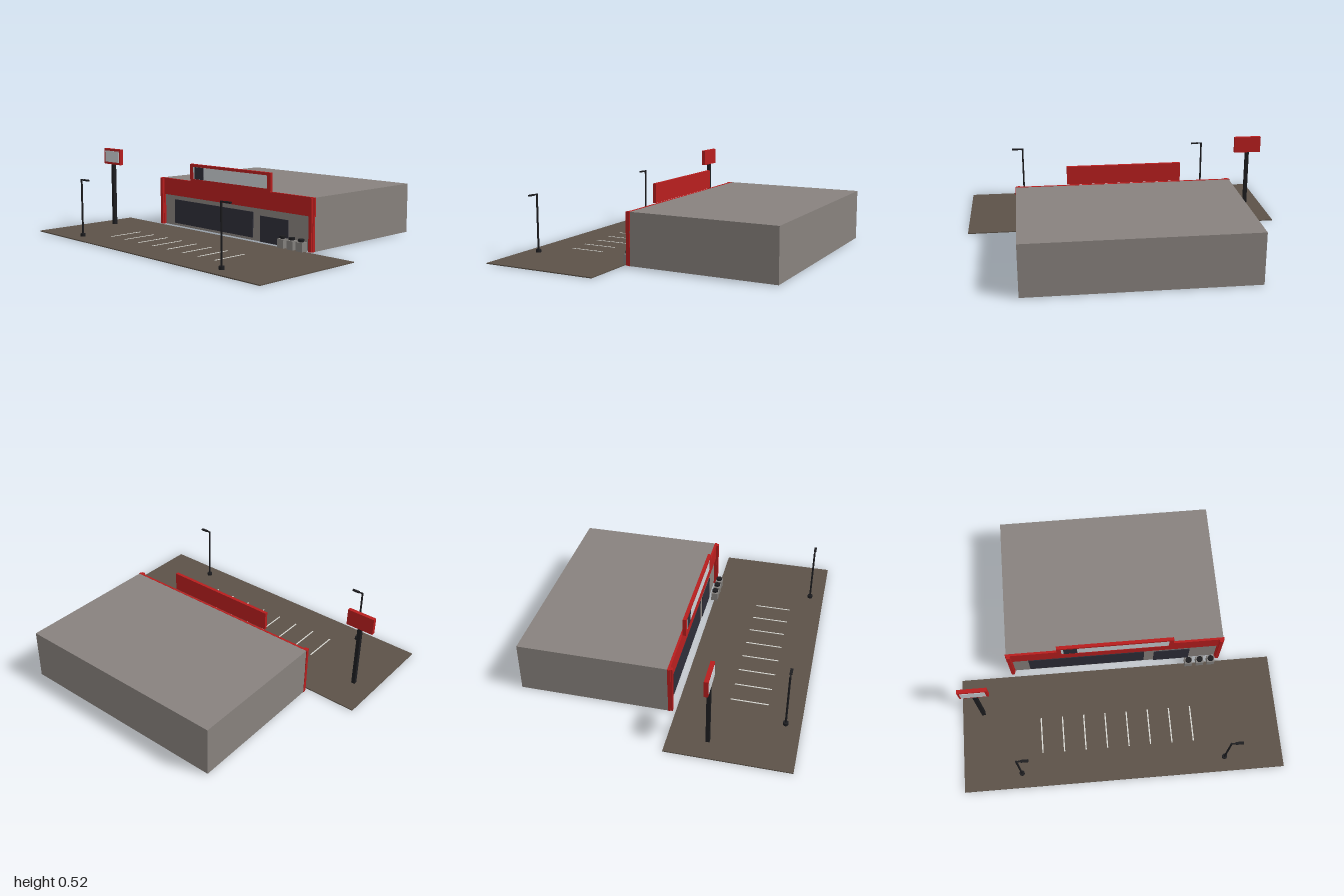
import * as THREE from 'three';

const mat = (name, color) => {
  const m = new THREE.MeshStandardMaterial({ color });
  m.name = name;
  return m;
};

export function createModel() {
  const wall = mat('wall grey', 0x88827e);
  const red = mat('trim red', 0xb81e1e);
  const asphalt = mat('asphalt brown', 0x5c5248);
  const glass = mat('dark glass', 0x2e2e38);
  const metal = mat('black metal', 0x1d1d20);
  const panel = mat('pale panel', 0xcacfd3);
  const paint = mat('line paint', 0xd6d6d0);
  const binGrey = mat('bin grey', 0x85827f);

  const root = new THREE.Group();
  root.name = 'roadsideShop';

  // Box given by its extents along each axis
  const box = (name, m, [x0, x1], [y0, y1], [z0, z1], parent = root) => {
    const mesh = new THREE.Mesh(new THREE.BoxGeometry(x1 - x0, y1 - y0, z1 - z0), m);
    mesh.position.set((x0 + x1) / 2, (y0 + y1) / 2, (z0 + z1) / 2);
    mesh.name = name;
    parent.add(mesh);
    return mesh;
  };
  const cyl = (name, m, r, [y0, y1], x, z, parent = root, sides = 16) => {
    const mesh = new THREE.Mesh(new THREE.CylinderGeometry(r, r, y1 - y0, sides), m);
    mesh.position.set(x, (y0 + y1) / 2, z);
    mesh.name = name;
    parent.add(mesh);
    return mesh;
  };
  const group = (name) => {
    const g = new THREE.Group();
    g.name = name;
    root.add(g);
    return g;
  };

  // Parking lot with bay lines
  box('parkingLot', asphalt, [-1, 1], [0, 0.006], [0.112, 0.84]);
  const lines = group('bayLines');
  for (let i = 0; i < 8; i++) {
    const x = -0.503 + i * 0.1365;
    box('bayLine', paint, [x - 0.004, x + 0.004], [0.005, 0.008], [0.405, 0.632], lines);
  }

  // Main building
  box('building', wall, [-0.68, 0.68], [0.004, 0.318], [-0.84, 0.068]);

  // Red fascia made of panels, with a pilaster at each end
  const fascia = group('fascia');
  const w = 1.37 / 8;
  for (let i = 0; i < 8; i++) {
    const x = -0.685 + i * w;
    box('fasciaPanel', red, [x, x + w], [0.208, 0.319], [0.064, 0.078], fascia);
  }
  for (const s of [-1, 1]) {
    const pilaster = group(s < 0 ? 'rightPilaster' : 'leftPilaster');
    const x = s * 0.667;
    box('pilasterBody', red, [x - 0.015, x + 0.015], [0.004, 0.319], [0.066, 0.082], pilaster);
    box('pilasterRib', red, [x - 0.011, x + 0.011], [0.004, 0.317], [0.08, 0.094], pilaster);
  }

  // Shop window panes and entrance
  const shopWindow = group('shopWindow');
  for (let i = 0; i < 4; i++) {
    const x = -0.553 + i * 0.185;
    box('windowPane', glass, [x, x + 0.185], [0.02, 0.18], [0.066, 0.0725], shopWindow);
  }
  box('entrance', glass, [0.25, 0.48], [0.004, 0.164], [0.066, 0.0725]);

  // Framed sign above the fascia
  const roofSign = group('roofSign');
  box('signBoard', red, [-0.362, 0.36], [0.319, 0.436], [0.08, 0.096], roofSign);
  for (const [y0, y1] of [[0.319, 0.339], [0.419, 0.436]])
    box('signRail', red, [-0.362, 0.36], [y0, y1], [0.095, 0.1], roofSign);
  for (const [x0, x1] of [[-0.362, -0.334], [0.332, 0.36]])
    box('signStile', red, [x0, x1], [0.339, 0.419], [0.095, 0.1], roofSign);
  box('signFace', panel, [-0.334, 0.332], [0.339, 0.419], [0.094, 0.098], roofSign);
  box('signBlock', glass, [-0.32, -0.235], [0.34, 0.418], [0.096, 0.0995], roofSign);

  // Tall sign on a post
  const poleSign = group('poleSign');
  box('post', metal, [-0.879, -0.856], [0.004, 0.42], [0.331, 0.354], poleSign);
  box('postBoard', red, [-0.955, -0.779], [0.413, 0.517], [0.33, 0.354], poleSign);
  box('postFace', panel, [-0.942, -0.792], [0.428, 0.503], [0.35, 0.357], poleSign);

  // Lamp posts with arms reaching toward +x
  for (const x of [-0.64, 0.635]) {
    const lamp = group('lampPost');
    cyl('lampBase', metal, 0.016, [0.004, 0.024], x, 0.75, lamp);
    cyl('lampPole', metal, 0.006, [0.01, 0.367], x, 0.75, lamp, 10);
    box('lampArm', metal, [x, x + 0.035], [0.36, 0.367], [0.746, 0.754], lamp);
    box('lampHead', metal, [x + 0.025, x + 0.072], [0.359, 0.368], [0.742, 0.758], lamp);
  }

  // Row of bins with round lids
  for (const x of [0.475, 0.548, 0.62]) {
    const bin = group('bin');
    box('binBody', binGrey, [x - 0.024, x + 0.024], [0.004, 0.06], [0.091, 0.134], bin);
    cyl('binNeck', metal, 0.012, [0.058, 0.066], x, 0.113, bin);
    cyl('binLid', metal, 0.019, [0.064, 0.077], x, 0.113, bin, 20);
  }

  return root;
}
